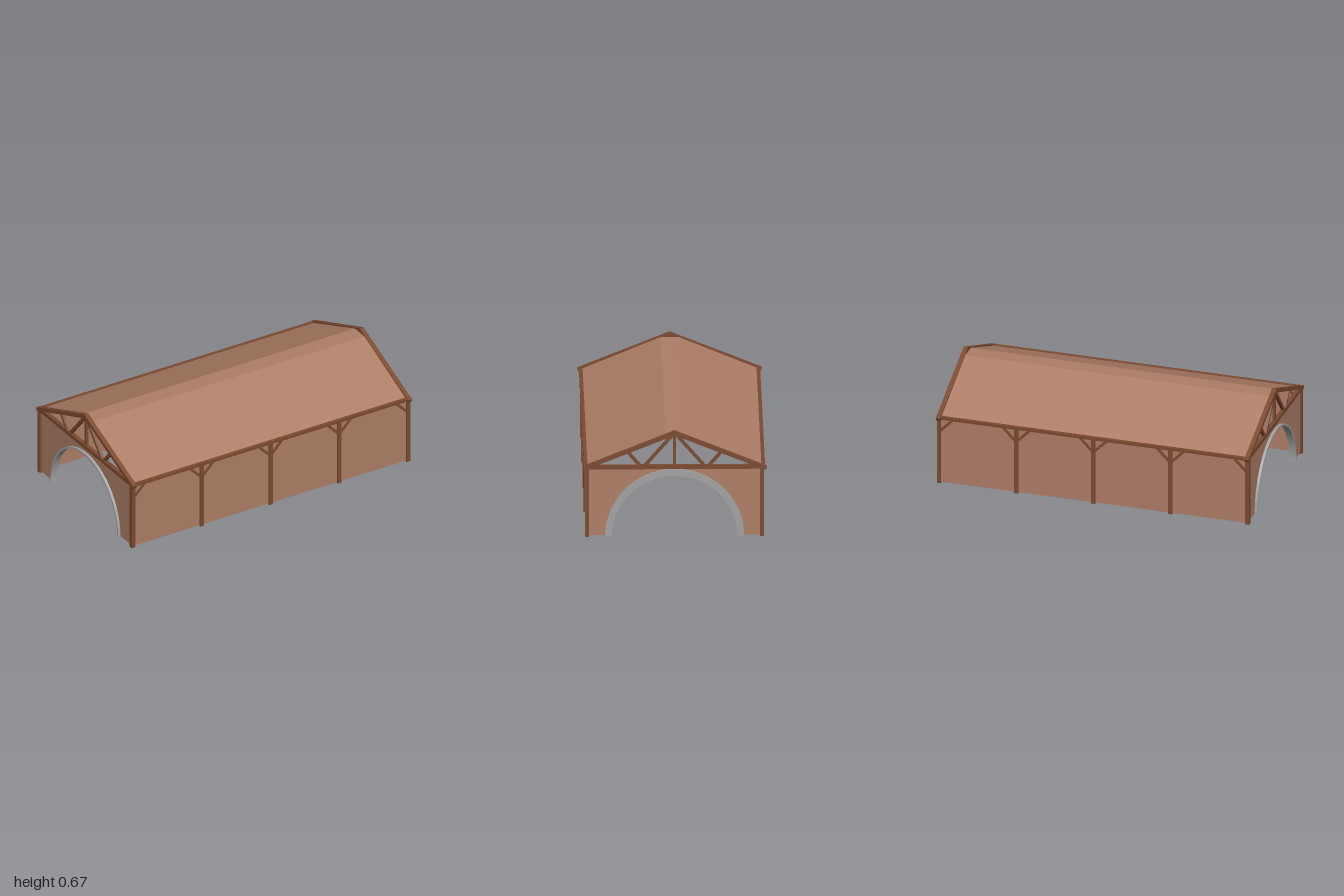
import * as THREE from 'three';

const timber = new THREE.MeshStandardMaterial({ name: 'timber', color: 0x7c4a30 });
const clay = new THREE.MeshStandardMaterial({ name: 'clay', color: 0xae7e66, side: THREE.DoubleSide });
const stone = new THREE.MeshStandardMaterial({ name: 'stone', color: 0xa4a4a4, side: THREE.DoubleSide });

function add(parent, name, geometry, material) {
  const mesh = new THREE.Mesh(geometry, material);
  mesh.name = name;
  parent.add(mesh);
  return mesh;
}

function box(parent, name, w, h, d, x, y, z, material = timber) {
  const mesh = add(parent, name, new THREE.BoxGeometry(w, h, d), material);
  mesh.position.set(x, y, z);
  return mesh;
}

// Square beam between two points in the XY plane (inPlane 'x') or the ZY plane (inPlane 'z')
function beam(parent, name, inPlane, a, b, fixed, thick, depth) {
  const du = b[0] - a[0], dv = b[1] - a[1];
  const u = (a[0] + b[0]) / 2, v = (a[1] + b[1]) / 2;
  const len = Math.hypot(du, dv);
  if (inPlane === 'x') {
    const m = box(parent, name, len, thick, depth, u, v, fixed);
    m.rotation.z = Math.atan2(dv, du);
  } else {
    const m = box(parent, name, depth, thick, len, fixed, v, u);
    m.rotation.x = -Math.atan2(dv, du);
  }
}

// Gable truss, closed by a ridge-mitred pair of rafters
function truss(x) {
  const g = new THREE.Group();
  g.name = 'gableTruss';
  const outline = [[-0.56, 0.441], [0, 0.668], [0.56, 0.441], [0.552, 0.421], [0, 0.642], [-0.552, 0.421]];
  const shape = new THREE.Shape(outline.map(([z, y]) => new THREE.Vector2(z, y)));
  const rafters = new THREE.ExtrudeGeometry(shape, { depth: 0.028, bevelEnabled: false });
  rafters.translate(0, 0, -0.014).rotateY(-Math.PI / 2);
  add(g, 'rafters', rafters, timber).position.x = x;
  box(g, 'tieBeam', 0.025, 0.024, 1.07, x, 0.44, 0);
  box(g, 'kingPost', 0.016, 0.2, 0.016, x, 0.55, 0);
  for (const s of [-1, 1]) {
    beam(g, 'longStrut', 'z', [s * 0.012, 0.642], [s * 0.183, 0.444], x, 0.018, 0.018);
    beam(g, 'shortStrut', 'z', [s * 0.206, 0.444], [s * 0.287, 0.539], x, 0.018, 0.018);
  }
  return g;
}

// End wall with a round-arched opening
function endWall(parent, x) {
  const s = new THREE.Shape();
  s.moveTo(-0.53, 0.006);
  s.lineTo(-0.39, 0.006);
  s.absarc(0, 0.006, 0.39, Math.PI, 0, true);
  s.lineTo(0.53, 0.006);
  s.lineTo(0.53, 0.435);
  s.lineTo(-0.53, 0.435);
  const geo = new THREE.ShapeGeometry(s, 24).rotateY(Math.PI / 2);
  add(parent, 'endWall', geo, clay).position.x = x;
}

// Half ring of rectangular section, from x0 to x1
function halfRing(parent, name, inner, outer, x0, x1) {
  const s = new THREE.Shape();
  s.absarc(0, 0, outer, 0, Math.PI, false);
  s.absarc(0, 0, inner, Math.PI, 0, true);
  const geo = new THREE.ExtrudeGeometry(s, { depth: x1 - x0, bevelEnabled: false, curveSegments: 24 });
  geo.rotateY(Math.PI / 2);
  add(parent, name, geo, stone).position.set(x0, 0.006, 0);
}

export function createModel() {
  const model = new THREE.Group();
  model.name = 'timberHall';

  // Roof: two slopes and a narrow flat ridge
  const profile = [[0.543, 0.437], [0.055, 0.64], [-0.055, 0.64], [-0.543, 0.437]];
  for (let i = 0; i < 3; i++) {
    const [z0, y0] = profile[i], [z1, y1] = profile[i + 1];
    const geo = new THREE.PlaneGeometry(1.95, Math.hypot(z1 - z0, y1 - y0)).rotateX(-Math.PI / 2);
    const panel = add(model, i === 1 ? 'roofRidge' : 'roofSlope', geo, clay);
    panel.position.set(0, (y0 + y1) / 2, (z0 + z1) / 2);
    panel.rotation.x = Math.atan2(y1 - y0, z0 - z1);
  }

  // Long sides: wall, plate, posts and knee braces
  for (const s of [-1, 1]) {
    const z = s * 0.53;
    box(model, 'sideWall', 1.95, 0.429, 0.004, 0, 0.2205, z, clay);
    box(model, 'wallPlate', 1.99, 0.018, 0.022, 0, 0.437, s * 0.538);
    for (let i = -2; i <= 2; i++) {
      const x = i * 0.49;
      box(model, 'post', 0.025, 0.434, 0.025, x, 0.217, z);
      for (const d of [-1, 1]) {
        if (i * d === 2) continue;
        beam(model, 'kneeBrace', 'x', [x + d * 0.006, 0.347], [x + d * 0.09, 0.433], z, 0.016, 0.016);
      }
    }
  }

  // Ends: walls, trusses and stone arches with a flange on one face
  for (const s of [-1, 1]) {
    endWall(model, s * 0.98);
    model.add(truss(s * 0.98));
    const face = s > 0 ? 1 : -0.955;
    halfRing(model, 'archLining', 0.38, 0.392, face - 0.042, face);
    halfRing(model, 'archFlange', 0.38, 0.422, face - 0.014, face);
  }
  return model;
}
